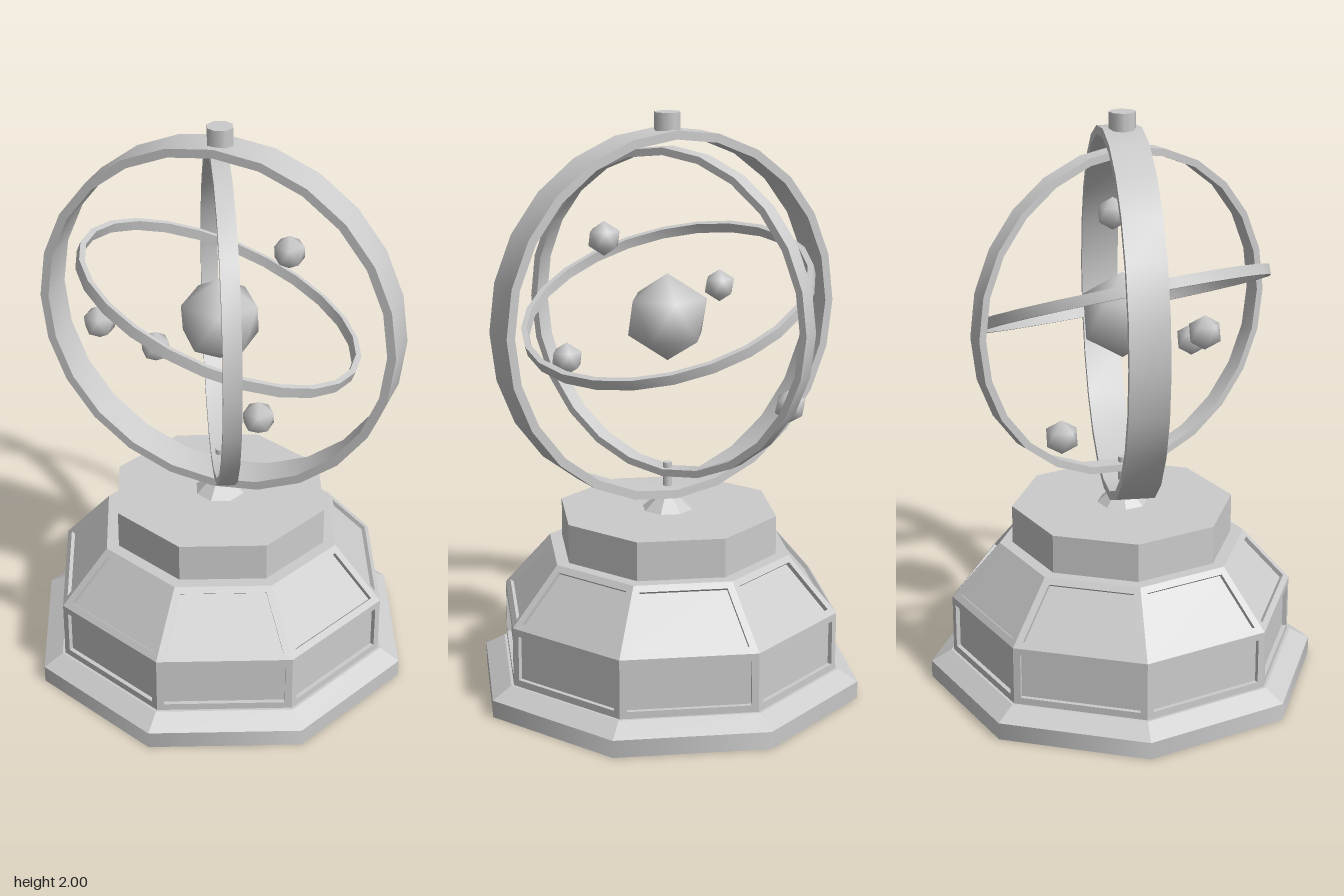
import * as THREE from 'three';
import { mergeVertices, toCreasedNormals } from 'three/addons/utils/BufferGeometryUtils.js';

const smooth = new THREE.MeshStandardMaterial({ color: 0xcccccc });
const flat = new THREE.MeshStandardMaterial({ color: 0xcccccc, flatShading: true });
const COS = Math.cos(Math.PI / 8), SIN = Math.sin(Math.PI / 8);

export function createModel() {
  const model = new THREE.Group();

  function add(name, geometry, material = flat, parent = model) {
    const mesh = new THREE.Mesh(geometry, material);
    mesh.name = name;
    parent.add(mesh);
    return mesh;
  }

  // Upright prism or cone between two heights
  function column(name, rBottom, rTop, y0, y1, material = flat) {
    const mesh = add(name, new THREE.CylinderGeometry(rTop, rBottom, y1 - y0, 8), material);
    mesh.position.y = (y0 + y1) / 2;
    return mesh;
  }

  // Eight framed, recessed panels forming one tier of the base
  function panelTier(name, r0, r1, y0, y1, margin, depth) {
    const tier = new THREE.Group();
    tier.name = name;
    model.add(tier);
    const run = (r0 - r1) * COS, rise = y1 - y0;
    const height = Math.hypot(run, rise);
    const w0 = r0 * SIN, w1 = r1 * SIN;
    const slope = (w0 - w1) / height;
    const side = margin * Math.hypot(1, slope);
    const trapezoid = (a, b, lo, hi) => [[-a, lo], [a, lo], [b, hi], [-b, hi]].map(p => new THREE.Vector2(...p));
    const opening = trapezoid(w0 - slope * margin - side, w1 + slope * margin - side, margin, height - margin);
    const frame = new THREE.Shape(trapezoid(w0, w1, 0, height));
    frame.holes.push(new THREE.Path(opening));
    const frameGeo = new THREE.ExtrudeGeometry(frame, { depth, bevelEnabled: false }).translate(0, 0, -depth);
    const panelGeo = new THREE.ShapeGeometry(new THREE.Shape(opening)).translate(0, 0, -depth);
    for (let i = 0; i < 8; i++) {
      const face = new THREE.Group();
      face.name = 'basePanel';
      face.rotation.y = (i + 0.5) * Math.PI / 4;
      const leaning = new THREE.Group();
      leaning.name = 'panelSection';
      leaning.position.set(0, y0, r0 * COS);
      leaning.rotation.x = -Math.atan2(run, rise);
      add('panelFrame', frameGeo, flat, leaning);
      add('panelInset', panelGeo, flat, leaning);
      face.add(leaning);
      tier.add(face);
    }
  }

  // Flat band bent into a ring around the y axis
  function ring(name, radius, thickness, width, y) {
    const h = width / 2, inner = radius - thickness;
    const profile = [[inner, -h], [radius, -h], [radius, h], [inner, h], [inner, -h]].map(p => new THREE.Vector2(...p));
    const mesh = add(name, toCreasedNormals(new THREE.LatheGeometry(profile, 24), 0.6), smooth);
    mesh.position.y = y;
    return mesh;
  }

  // Smooth-shaded icosahedron standing on a corner
  function orb(name, radius, x, y, z) {
    let geo = new THREE.IcosahedronGeometry(radius, 0);
    geo.rotateX(-Math.atan((1 + Math.sqrt(5)) / 2)).rotateY(Math.PI / 2);
    geo.deleteAttribute('normal');
    geo.deleteAttribute('uv');
    geo = mergeVertices(geo, 1e-4);
    geo.computeVertexNormals();
    add(name, geo, smooth).position.set(x, y, z);
  }

  // Octagonal base
  column('foot', 0.68, 0.68, 0, 0.06, smooth);
  column('footBevel', 0.68, 0.61, 0.06, 0.1);
  panelTier('lowerPanels', 0.6, 0.6, 0.1, 0.305, 0.024, 0.015);
  panelTier('slopedPanels', 0.6, 0.43, 0.305, 0.5, 0.024, 0.015);
  column('shoulder', 0.43, 0.43, 0.494, 0.5);
  column('drum', 0.385, 0.385, 0.5, 0.635);

  // Pivot holding the rings
  column('pivotCone', 0.088, 0.02, 0.635, 0.695);
  column('pivotPin', 0.016, 0.016, 0.66, 0.8, smooth);
  column('topCap', 0.045, 0.045, 1.935, 2, smooth);

  // Three nested rings
  ring('outerRing', 0.63, 0.03, 0.13, 1.315).rotation.x = Math.PI / 2;
  const meridian = ring('middleRing', 0.565, 0.025, 0.06, 1.32);
  meridian.rotation.set(Math.PI / 2, THREE.MathUtils.degToRad(-65), 0, 'YXZ');
  const tilted = ring('innerRing', 0.505, 0.02, 0.036, 1.365);
  tilted.quaternion.setFromUnitVectors(new THREE.Vector3(0, 1, 0), new THREE.Vector3(0.37, 1, -0.16).normalize());

  // Central globe and its small satellites
  orb('globe', 0.15, 0, 1.31, 0);
  const satellites = [[-0.34, 1.345, 0.22], [-0.34, 1.01, -0.245], [0.24, 1.135, 0.28], [0.24, 1.6, 0]];
  for (const p of satellites) orb('satellite', 0.058, ...p);

  return model;
}
